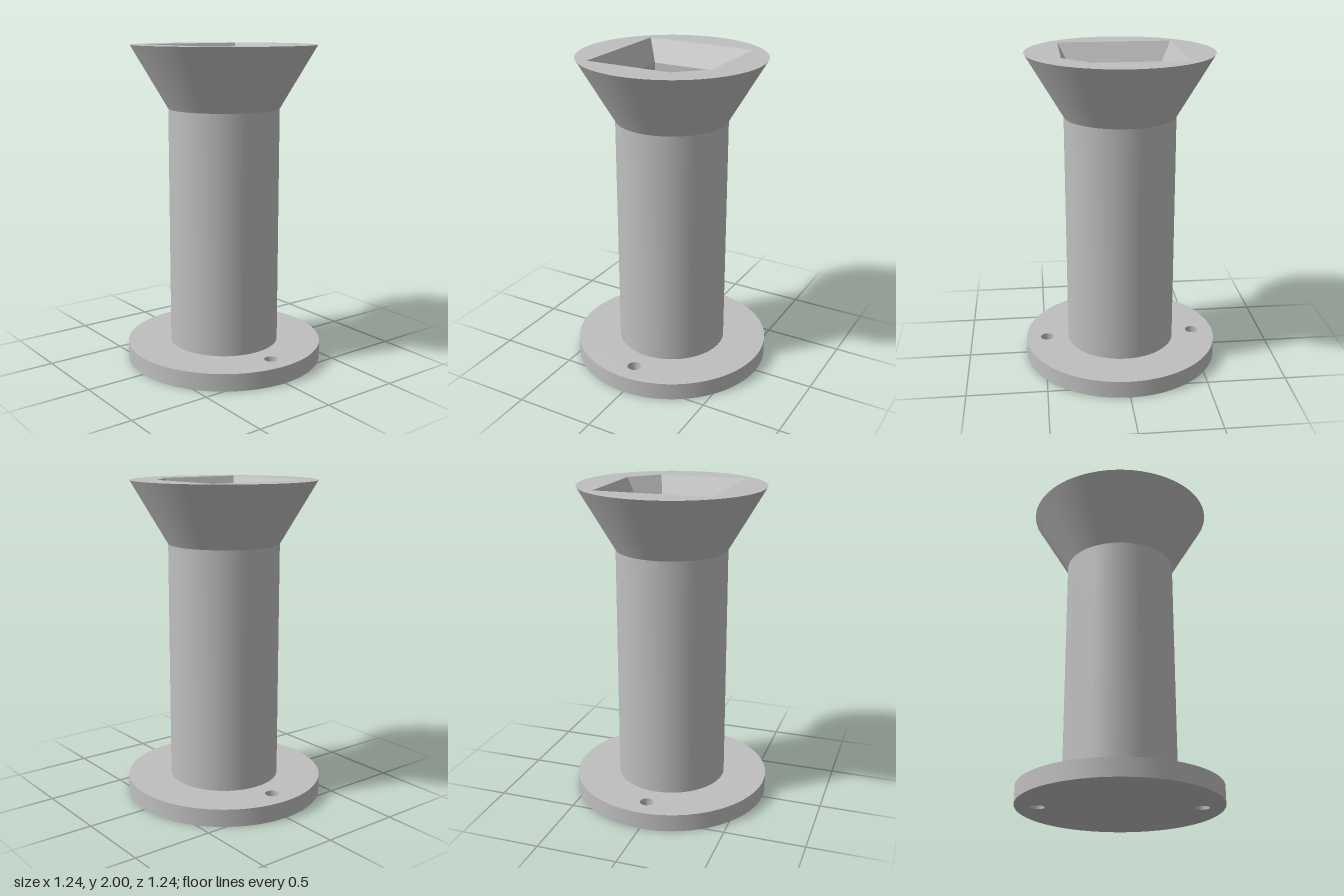
import * as THREE from 'three';
import { toCreasedNormals } from 'three/addons/utils/BufferGeometryUtils.js';

const SEGMENTS = 96;
const BASE_TOP = 0.11, NECK = 1.61, TOP = 2;
const COLUMN_R = 0.346, RIM_R = 0.575, BORE_R = 0.286;
const SLOPE_END = 1.86, LEDGE = 1.75;

// Square outline with one clipped corner (+x, -z); shape y is -z
const clippedSquare = (h, c) =>
  [[h, -h], [h, c], [c, h], [-h, h], [-h, -h]].map(([x, y]) => new THREE.Vector2(x, y));

const circle = (r, x = 0, y = 0) => new THREE.Path().absarc(x, y, r, 0, Math.PI * 2);

// Surface of revolution from [radius, height] pairs
const revolve = (...pairs) =>
  new THREE.LatheGeometry(pairs.map(([r, y]) => new THREE.Vector2(r, y)), SEGMENTS);

// Horizontal upward-facing plate at height y
function plate(shape, y) {
  return new THREE.ShapeGeometry(shape, SEGMENTS).rotateX(-Math.PI / 2).translate(0, y, 0);
}

// Flat inward-facing walls joining successive horizontal outlines, top to bottom
function innerWalls(rings) {
  const positions = [];
  for (let r = 0; r < rings.length - 1; r++) {
    const [a, b] = [rings[r], rings[r + 1]];
    const n = a.points.length;
    for (let i = 0; i < n; i++) {
      const j = (i + 1) % n;
      for (const [ring, k] of [[a, i], [a, j], [b, j], [a, i], [b, j], [b, i]]) {
        positions.push(ring.points[k].x, ring.y, -ring.points[k].y);
      }
    }
  }
  const geometry = new THREE.BufferGeometry();
  geometry.setAttribute('position', new THREE.Float32BufferAttribute(positions, 3));
  geometry.computeVertexNormals();
  return geometry;
}

export function createModel() {
  const grey = new THREE.MeshStandardMaterial({ color: 0xbfbfbf, side: THREE.DoubleSide });
  grey.name = 'plain grey';
  const model = new THREE.Group();
  model.name = 'flangedColumn';
  const add = (name, geometry) => {
    const mesh = new THREE.Mesh(geometry, grey);
    mesh.name = name;
    model.add(mesh);
  };

  // Round foot flange with two through holes
  const foot = new THREE.Shape().absarc(0, 0, 0.622, 0, Math.PI * 2);
  for (const side of [-1, 1]) foot.holes.push(circle(0.043, side * 0.486));
  const footGeometry = new THREE.ExtrudeGeometry(foot, {
    depth: BASE_TOP, bevelEnabled: false, curveSegments: SEGMENTS,
  }).rotateX(-Math.PI / 2);
  add('footFlange', toCreasedNormals(footGeometry, 0.6));

  // Column and flared head
  add('column', revolve([COLUMN_R, BASE_TOP], [COLUMN_R, NECK]));
  add('flaredHead', revolve([COLUMN_R, NECK], [RIM_R, TOP]));

  // Socket: rim, sloped and straight walls, ledge
  const mouth = clippedSquare(0.361, 0.193);
  const throat = clippedSquare(0.288, 0.164);
  const rim = new THREE.Shape().absarc(0, 0, RIM_R, 0, Math.PI * 2);
  rim.holes.push(new THREE.Path(mouth));
  add('headRim', plate(rim, TOP));
  add('socketWalls', innerWalls([
    { points: mouth, y: TOP }, { points: throat, y: SLOPE_END }, { points: throat, y: LEDGE },
  ]));
  const ledge = new THREE.Shape(throat);
  ledge.holes.push(circle(BORE_R));
  add('socketLedge', plate(ledge, LEDGE));

  // Round bore down the column, closed at the foot
  add('bore', revolve([BORE_R, LEDGE], [BORE_R, BASE_TOP + 0.002]));
  add('boreFloor', plate(new THREE.Shape().absarc(0, 0, BORE_R, 0, Math.PI * 2), BASE_TOP + 0.002));

  return model;
}
